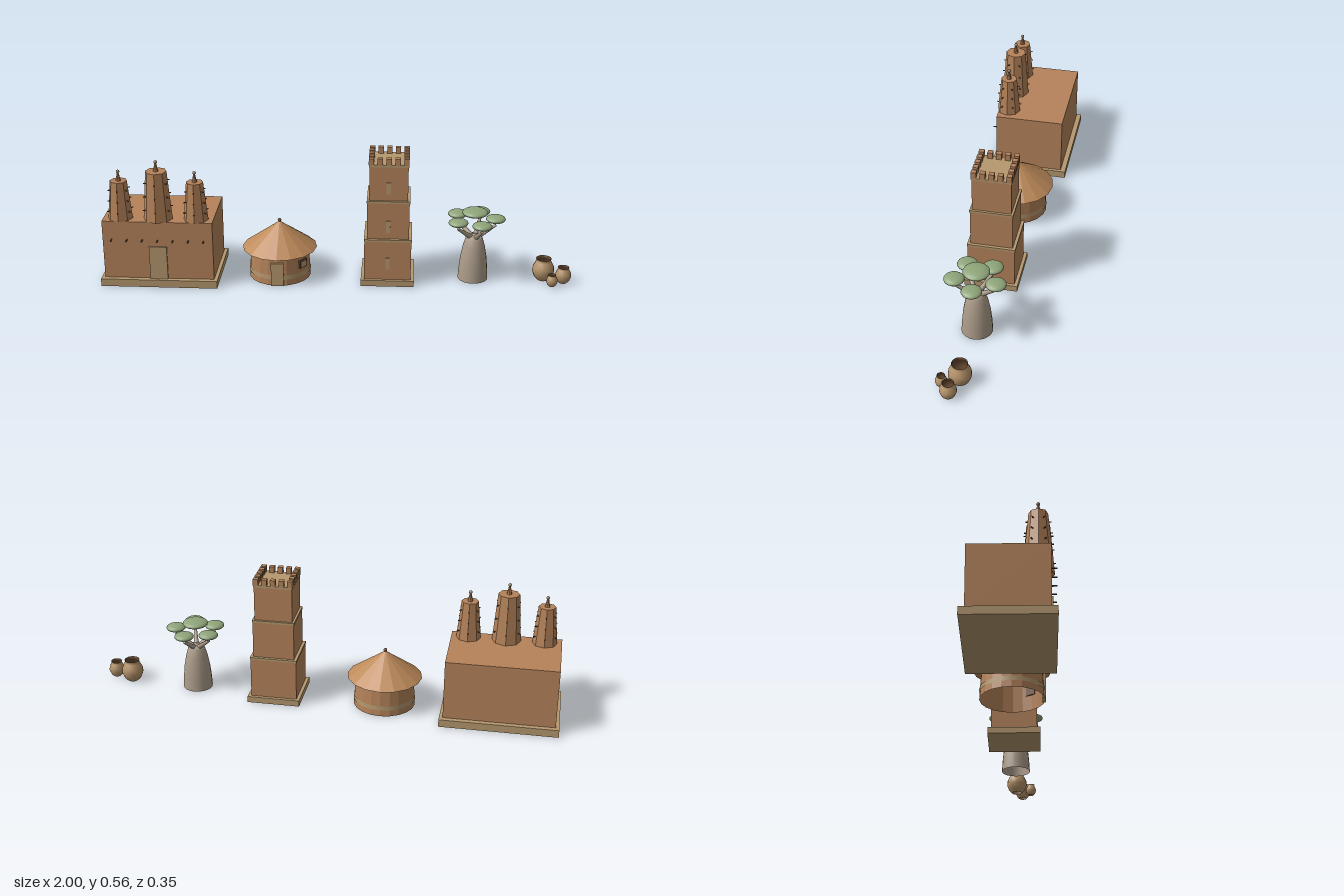
import * as THREE from 'three';

const mat = (name, color, extra = {}) => {
  const m = new THREE.MeshStandardMaterial({ color, ...extra });
  m.name = name;
  return m;
};

export function createModel() {
  const DS = { side: THREE.DoubleSide };
  const mud = mat('mud wall', 0xb5835a, { flatShading: true, ...DS });
  const trim = mat('pale clay', 0xb5986f);
  const thatch = mat('thatch', 0xbd8a5a, { flatShading: true, ...DS });
  const wood = mat('dark wood', 0x6b4a32);
  const knob = mat('finial clay', 0xa08468);
  const bark = mat('grey bark', 0xac9c8a, DS);
  const leaf = mat('leaf green', 0x8fa57a);
  const clay = mat('pot clay', 0xb5936a);
  const soot = mat('pot inside', 0x6a4c34, { side: THREE.BackSide });

  const model = new THREE.Group();
  const group = (name, x, z) => {
    const g = new THREE.Group();
    g.name = name;
    g.position.set(x, 0, z);
    model.add(g);
    return g;
  };
  const add = (parent, name, geo, material, x = 0, y = 0, z = 0) => {
    const m = new THREE.Mesh(geo, material);
    m.name = name;
    m.position.set(x, y, z);
    parent.add(m);
    return m;
  };
  // Box resting on height y
  const box = (parent, name, w, h, d, material, x, y, z) =>
    add(parent, name, new THREE.BoxGeometry(w, h, d), material, x, y + h / 2, z);
  // Tapered rod between two points
  const rod = (parent, name, a, b, r0, r1, sides, material) => {
    const dir = b.clone().sub(a);
    const m = add(parent, name, new THREE.CylinderGeometry(r1, r0, dir.length(), sides), material);
    m.position.copy(a).add(b).multiplyScalar(0.5);
    m.quaternion.setFromUnitVectors(new THREE.Vector3(0, 1, 0), dir.normalize());
    return m;
  };
  const polar = (angle, r, y) => new THREE.Vector3(Math.cos(angle) * r, y, Math.sin(angle) * r);

  // Great hall with three tapered towers
  const hall = group('hall', -0.752, 0);
  box(hall, 'hallPlinth', 0.496, 0.033, 0.35, trim, 0, 0, 0);
  box(hall, 'hallBody', 0.466, 0.257, 0.306, mud, 0, 0.033, 0);
  box(hall, 'hallDoor', 0.075, 0.147, 0.016, trim, 0, 0.033, 0.153);
  for (let i = 0; i < 7; i++) {
    const x = -0.195 + i * 0.065;
    rod(hall, 'wallPeg', new THREE.Vector3(x, 0.208, 0.145), new THREE.Vector3(x, 0.208, 0.175),
      0.003, 0.003, 6, wood);
  }
  for (const [x, h, r0, r1] of [[-0.16, 0.167, 0.052, 0.036], [0, 0.212, 0.061, 0.045], [0.16, 0.167, 0.052, 0.036]]) {
    const t = new THREE.Group();
    t.name = 'hallTower';
    t.position.set(x, 0.29, 0.108);
    hall.add(t);
    add(t, 'towerShaft', new THREE.CylinderGeometry(r1, r0, h, 8), mud, 0, h / 2, 0);
    add(t, 'towerSpire', new THREE.CylinderGeometry(0.003, 0.011, 0.038, 8), mud, 0, h + 0.019, 0);
    add(t, 'towerFinial', new THREE.SphereGeometry(0.0075, 10, 8), knob, 0, h + 0.04, 0);
    for (const f of [0.22, 0.5, 0.78]) {
      const r = r0 + (r1 - r0) * f;
      for (let k = 0; k < 6; k++) {
        const a = (k * Math.PI) / 3 + Math.PI / 6;
        rod(t, 'towerPeg', polar(a, r - 0.012, f * h), polar(a, r + 0.008, f * h), 0.0025, 0.0025, 6, wood);
      }
    }
  }

  // Round hut
  const hut = group('hut', -0.252, 0);
  add(hut, 'hutWall', new THREE.CylinderGeometry(0.125, 0.132, 0.135, 20, 1, true), mud, 0, 0.0675, 0);
  add(hut, 'hutBand', new THREE.CylinderGeometry(0.1325, 0.1335, 0.019, 20, 1, true), trim, 0, 0.037, 0);
  add(hut, 'hutRoof', new THREE.ConeGeometry(0.16, 0.117, 16), thatch, 0, 0.1875, 0);
  add(hut, 'hutFinial', new THREE.SphereGeometry(0.008, 10, 8), wood, 0, 0.249, 0);
  box(hut, 'hutDoor', 0.054, 0.103, 0.014, trim, 0, 0, 0.128);
  const turn = new THREE.Group();
  turn.name = 'hutWindow';
  turn.rotation.y = 0.95;
  hut.add(turn);
  box(turn, 'windowFrame', 0.044, 0.036, 0.01, wood, 0, 0.064, 0.127);
  box(turn, 'windowPanel', 0.032, 0.026, 0.01, trim, 0, 0.069, 0.129);

  // Stepped square tower
  const tower = group('squareTower', 0.214, 0);
  box(tower, 'towerPlinth', 0.226, 0.027, 0.226, trim, 0, 0, 0);
  for (const [half, y0, y1, slit] of [[0.099, 0.027, 0.21, 0.075], [0.0885, 0.21, 0.38, 0.24], [0.081, 0.38, 0.538, 0.41]]) {
    box(tower, 'tier', half * 2, y1 - y0 - 0.01, half * 2, mud, 0, y0, 0);
    box(tower, 'tierTrim', half * 2 + 0.004, 0.01, half * 2 + 0.004, trim, 0, y1 - 0.01, 0);
    box(tower, 'slitWindow', 0.018, 0.052, 0.008, trim, 0, slit, half);
  }
  // Ring of merlons around the roof edge
  for (let i = -2; i <= 2; i++) for (let j = -2; j <= 2; j++) {
    if (Math.max(Math.abs(i), Math.abs(j)) === 2)
      box(tower, 'merlon', 0.022, 0.027, 0.022, mud, i * 0.0365, 0.538, j * 0.0365);
  }

  // Thick-trunked tree
  const tree = group('tree', 0.58, 0);
  const trunk = [[0.064, 0], [0.061, 0.05], [0.056, 0.1], [0.047, 0.15], [0.037, 0.185], [0.028, 0.2], [0, 0.205]];
  add(tree, 'trunk', new THREE.LatheGeometry(trunk.map(p => new THREE.Vector2(...p)), 20), bark);
  add(tree, 'crownCentre', new THREE.SphereGeometry(0.055, 16, 12), leaf, 0, 0.303, 0).scale.y = 0.31;
  for (let k = 0; k < 5; k++) {
    const a = (k * Math.PI * 2) / 5;
    rod(tree, 'branch', polar(a, 0.012, 0.19), polar(a, 0.09, 0.248), 0.012, 0.006, 8, bark);
    const p = polar(a, 0.088, 0.275);
    add(tree, 'crownLobe', new THREE.SphereGeometry(0.042, 16, 12), leaf, p.x, p.y, p.z).scale.y = 0.38;
  }

  // Pots: one unit profile scaled to each size
  const profile = [[0.5, 0], [0.8, 0.15], [1, 0.4], [0.95, 0.62], [0.72, 0.85], [0.62, 0.92], [0.7, 1]]
    .map(p => new THREE.Vector2(...p));
  const potGeo = new THREE.LatheGeometry(profile, 16);
  for (const [x, z, r, h] of [[0.881, 0, 0.047, 0.098], [0.964, 0.027, 0.034, 0.071], [0.913, 0.067, 0.024, 0.052]]) {
    const pot = group('pot', x, z);
    pot.scale.set(r, h, r);
    add(pot, 'potShell', potGeo, clay);
    add(pot, 'potInside', potGeo, soot);
  }
  return model;
}
